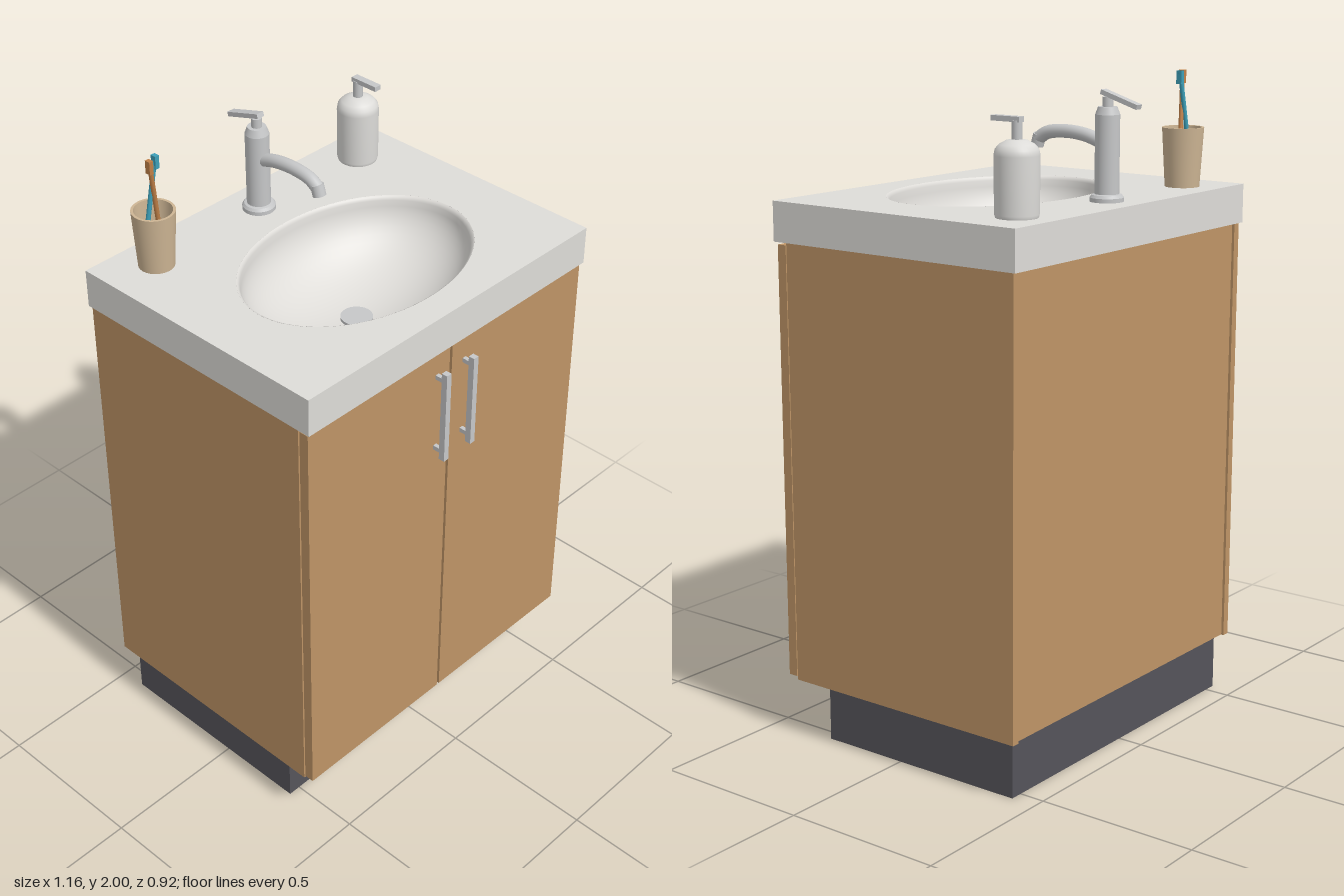
import * as THREE from 'three';

const mat = (name, color, side = THREE.FrontSide) => {
  const m = new THREE.MeshStandardMaterial({ color, side });
  m.name = name;
  return m;
};

export function createModel() {
  const wood = mat('wood', 0xbe9466);
  const stone = mat('ceramic', 0xdedcd8, THREE.DoubleSide);
  const dark = mat('plinth grey', 0x55545a);
  const metal = mat('brushed metal', 0xc6c7c8);
  const soap = mat('bottle white', 0xdcdbd8);
  const clay = mat('cup beige', 0xcdb594, THREE.DoubleSide);
  const teal = mat('teal', 0x3d9fb8);
  const orange = mat('orange brown', 0xc08048);

  const model = new THREE.Group();
  model.name = 'washstand';
  const add = (name, geo, material, x = 0, y = 0, z = 0, parent = model) => {
    const m = new THREE.Mesh(geo, material);
    m.name = name;
    m.position.set(x, y, z);
    parent.add(m);
    return m;
  };
  // box given by its minimum and maximum on each axis
  const box = (name, material, [x0, x1], [y0, y1], [z0, z1], parent = model) =>
    add(name, new THREE.BoxGeometry(x1 - x0, y1 - y0, z1 - z0), material,
      (x0 + x1) / 2, (y0 + y1) / 2, (z0 + z1) / 2, parent);
  // turned part; doubled points keep edges crisp
  const lathe = (pts, seg = 40) =>
    new THREE.LatheGeometry(pts.map(([r, y]) => new THREE.Vector2(r, y)), seg);
  const crisp = (pts) => pts.flatMap((p) => [p, p]);
  // cylinder between two points
  const rod = (name, material, a, b, r, parent = model) => {
    const p = new THREE.Vector3(...a), q = new THREE.Vector3(...b);
    const d = q.clone().sub(p);
    const m = add(name, new THREE.CylinderGeometry(r, r, d.length(), 16), material,
      0, 0, 0, parent);
    m.position.copy(p).add(q).multiplyScalar(0.5);
    m.quaternion.setFromUnitVectors(new THREE.Vector3(0, 1, 0), d.normalize());
    return m;
  };

  // Cabinet
  box('plinth', dark, [-0.54, 0.54], [0, 0.18], [-0.42, 0.28]);
  box('cabinetFloor', wood, [-0.55, 0.55], [0.18, 0.205], [-0.44, 0.38]);
  box('backPanel', wood, [-0.55, 0.55], [0.185, 1.53], [-0.442, -0.425]);
  box('frontRail', wood, [-0.55, 0.55], [1.45, 1.53], [0.36, 0.38]);
  for (const s of [-1, 1]) {
    const span = (a, b) => (s > 0 ? [a, b] : [-b, -a]);
    box('sidePanel', wood, span(0.55, 0.575), [0.18, 1.53], [-0.45, 0.38]);
    box('door', wood, span(0.005, 0.574), [0.19, 1.522], [0.384, 0.415]);
    // Handle with two posts
    const handle = new THREE.Group();
    handle.name = 'handle';
    model.add(handle);
    box('bar', metal, span(0.048, 0.067), [1.168, 1.472], [0.44, 0.46], handle);
    for (const y of [1.195, 1.445])
      box('post', metal, span(0.051, 0.064), [y - 0.007, y + 0.007], [0.415, 0.442], handle);
  }

  // Countertop with an oval opening
  const RX = 0.395, RZ = 0.283, CZ = 0.05, TOP = 1.65;
  const slab = new THREE.Shape([[-0.58, -0.425], [0.58, -0.425], [0.58, 0.46], [-0.58, 0.46]]
    .map(([x, y]) => new THREE.Vector2(x, y)));
  const hole = new THREE.Path();
  hole.absellipse(0, -CZ, RX, RZ, 0, Math.PI * 2, true);
  slab.holes.push(hole);
  const slabGeo = new THREE.ExtrudeGeometry(slab, { depth: 0.12, bevelEnabled: false, curveSegments: 64 });
  slabGeo.rotateX(-Math.PI / 2);
  add('countertop', slabGeo, stone, 0, TOP - 0.12, 0);

  // Bowl: rounded lip, then an oval hollow
  const profile = [[1, 0], [0.985, -0.003], [0.97, -0.012]];
  for (let i = 1; i <= 16; i++) {
    const t = (i / 16) * Math.PI / 2;
    profile.push([Math.max(0.0001, 0.97 * Math.cos(t)), -0.012 - 0.2 * Math.sin(t)]);
  }
  const bowl = lathe(profile, 64);
  bowl.scale(RX, 1, RZ);
  add('bowl', bowl, stone, 0, TOP, CZ);
  add('drain', new THREE.CylinderGeometry(0.048, 0.048, 0.012, 32), metal, 0, TOP - 0.207, CZ);

  // Faucet
  const faucet = new THREE.Group();
  faucet.name = 'faucet';
  faucet.position.set(0, TOP, -0.35);
  model.add(faucet);
  add('body', lathe(crisp([[0.05, 0], [0.05, 0.012], [0.044, 0.02], [0.036, 0.022],
    [0.036, 0.25], [0.028, 0.272], [0.0001, 0.272]])), metal, 0, 0, 0, faucet);
  rod('leverStem', metal, [0, 0.265, 0], [0, 0.3, 0], 0.016, faucet);
  const lever = add('lever', new THREE.BoxGeometry(0.026, 0.014, 0.13), metal, 0, 0.295, -0.045, faucet);
  lever.rotation.x = -0.3;
  const path = new THREE.CatmullRomCurve3([[0.17, 0.02], [0.187, 0.08], [0.193, 0.15],
    [0.185, 0.215], [0.165, 0.248]].map(([y, z]) => new THREE.Vector3(0, y, z)));
  add('spout', new THREE.TubeGeometry(path, 24, 0.02, 20), metal, 0, 0, 0, faucet);
  rod('spoutTip', metal, [0, 0.178, 0.242], [0, 0.145, 0.252], 0.02, faucet);

  // Soap dispenser
  const dispenser = new THREE.Group();
  dispenser.name = 'soapDispenser';
  dispenser.position.set(0.415, TOP, -0.34);
  model.add(dispenser);
  add('bottle', lathe([[0.0001, 0], [0.06, 0], [0.06, 0], [0.063, 0.01], [0.064, 0.17],
    [0.061, 0.187], [0.05, 0.2], [0.03, 0.211], [0.016, 0.213], [0.016, 0.213],
    [0.0001, 0.214]]), soap, 0, 0, 0, dispenser);
  rod('pump', metal, [0, 0.21, 0], [0, 0.265, 0], 0.015, dispenser);
  box('nozzle', metal, [-0.012, 0.012], [0.26, 0.275], [-0.015, 0.082], dispenser);

  // Cup with two toothbrushes
  const cup = new THREE.Group();
  cup.name = 'toothbrushCup';
  cup.position.set(-0.417, TOP, -0.34);
  model.add(cup);
  add('cupWall', lathe(crisp([[0.0001, 0], [0.053, 0], [0.064, 0.18], [0.056, 0.18],
    [0.046, 0.012], [0.0001, 0.012]])), clay, 0, 0, 0, cup);
  const brushes = [
    [teal, [-0.037, 0.02, -0.012], [0.016, 0.345, 0.004]],
    [orange, [0.037, 0.02, -0.012], [-0.016, 0.345, 0.016]],
  ];
  for (const [m, a, b] of brushes) {
    const brush = new THREE.Group();
    brush.name = 'toothbrush';
    cup.add(brush);
    rod('brushHandle', m, a, b, 0.007, brush);
    box('brushHead', m, [b[0] - 0.008, b[0] + 0.006], [0.31, 0.35], [b[2] - 0.008, b[2] + 0.01], brush);
  }
  return model;
}
